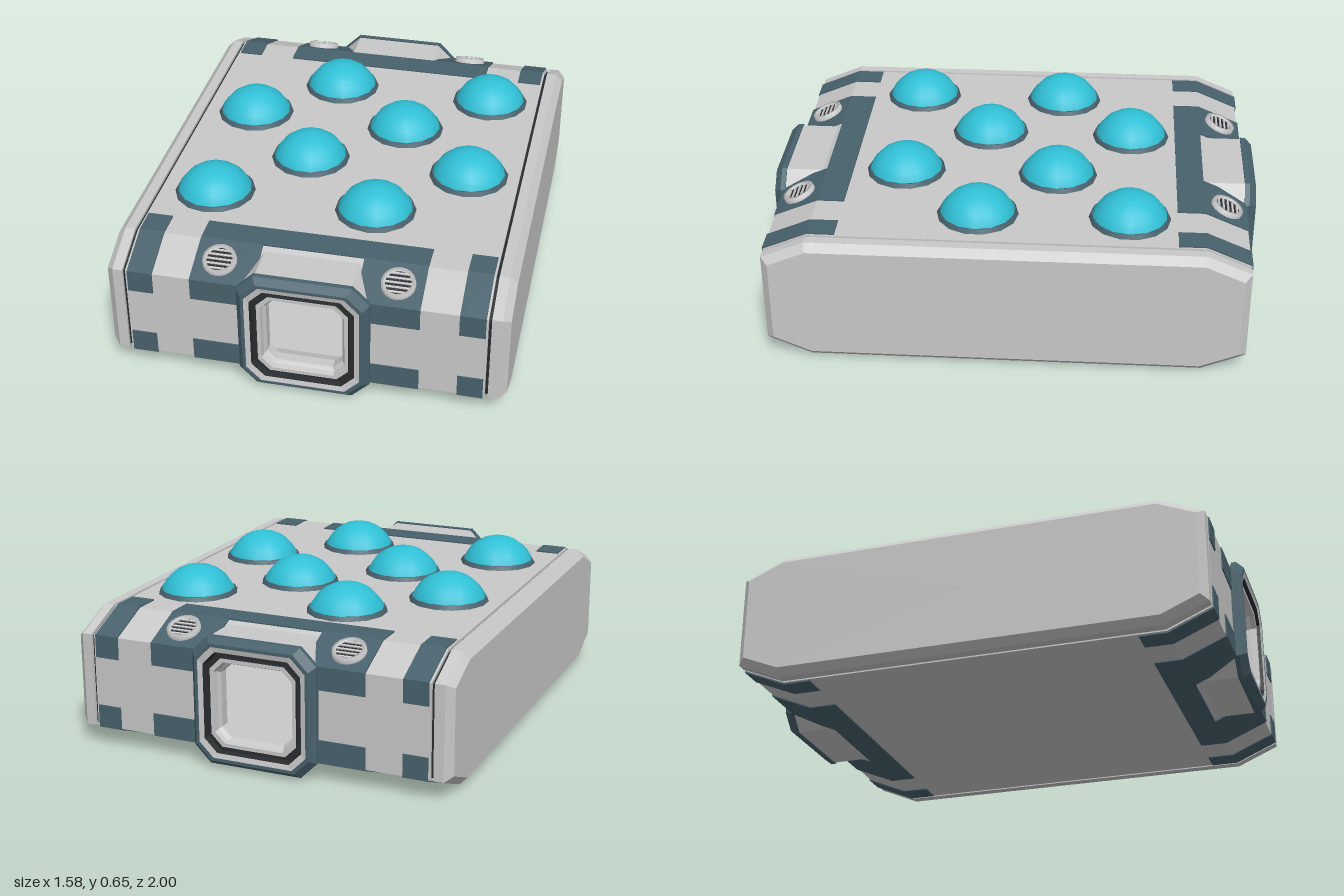
import * as THREE from 'three';

const mat = (name, color) => {
  const m = new THREE.MeshStandardMaterial({ color });
  m.name = name;
  return m;
};

export function createModel() {
  const model = new THREE.Group();
  model.name = 'deviceBlock';
  const grey = mat('light grey', 0xc8c8c8);
  const slate = mat('slate', 0x48616c);
  const black = mat('black', 0x292c2e);
  const teal = mat('teal', 0x30c0d6);
  teal.side = THREE.DoubleSide;
  const MID = 0.27;

  const add = (name, geometry, material, parent = model) => {
    const mesh = new THREE.Mesh(geometry, material);
    mesh.name = name;
    parent.add(mesh);
    return mesh;
  };

  // Upper half of the block's side profile as [-z, y], inset by d, front to back
  const upper = (d) => {
    const half = [[0.955 - d, 0.46 - 0.64 * d], [0.78 - 0.22 * d, 0.535 - d]];
    return [[-half[0][0], half[0][1]], [-half[1][0], half[1][1]], [half[1][0], half[1][1]], [half[0][0], half[0][1]]];
  };
  const flip = (pts) => pts.map(([u, y]) => [u, 2 * MID - y]);
  // Whole profile, counter-clockwise seen from +x
  const profile = (d) => [...flip(upper(d)), ...upper(d).reverse()];

  const toShape = (pts) => new THREE.Shape(pts.map(([x, y]) => new THREE.Vector2(x, y)));
  // Extrude a [-z, y] outline along x
  const alongX = (pts, x0, x1) =>
    new THREE.ExtrudeGeometry(toShape(pts), { depth: x1 - x0, bevelEnabled: false })
      .rotateY(Math.PI / 2).translate(x0, 0, 0);

  // Flat-shaded skin through a list of closed rings
  const loft = (rings) => {
    const pos = [];
    for (let j = 0; j < rings.length - 1; j++) {
      const a = rings[j], b = rings[j + 1], n = a.length;
      for (let i = 0; i < n; i++) {
        const k = (i + 1) % n;
        pos.push(...a[i], ...a[k], ...b[k], ...a[i], ...b[k], ...b[i]);
      }
    }
    const g = new THREE.BufferGeometry();
    g.setAttribute('position', new THREE.Float32BufferAttribute(pos, 3));
    g.computeVertexNormals();
    return g;
  };

  // Chamfered square around the port centre
  const octagon = (h) => {
    const c = h * 0.74;
    return [[h, -c], [h, c], [c, h], [-c, h], [-h, c], [-h, -c], [-c, -h], [c, -h]].map(([x, y]) => [x, y + MID]);
  };
  const octLoft = (steps) => loft(steps.map(([h, z]) => octagon(h).map(([x, y]) => [x, y, z])));

  // Hollow body: top and bottom shells
  const shell = [...upper(0), ...upper(0.02).reverse()];
  add('topShell', alongX(shell, -0.708, 0.708), grey);
  add('bottomShell', alongX(flip(shell), -0.708, 0.708), grey);

  // Side panels with a dark seam; the second is turned half round
  for (const side of [0, 1]) {
    const panel = new THREE.Group();
    panel.name = side ? 'rightSide' : 'leftSide';
    panel.rotation.y = side * Math.PI;
    model.add(panel);
    const ring = (x, d) => profile(d).map(([u, y]) => [x, y, -u]);
    const centre = (x) => ring(x, 0).map(() => [x, MID, 0]);
    add('seam', loft([ring(0.7, 0.012), ring(0.722, 0.012)]), black, panel);
    add('sidePanel', loft([centre(0.72), ring(0.72, 0), ring(0.76, 0), ring(0.79, 0.03), centre(0.79)]), grey, panel);
  }

  // Front and back ends
  for (const end of [0, 1]) {
    const g = new THREE.Group();
    g.name = end ? 'backEnd' : 'frontEnd';
    g.rotation.y = end * Math.PI;
    model.add(g);

    // End wall with an opening
    const wall = toShape([[-0.708, 0.08], [0.708, 0.08], [0.708, 0.46], [-0.708, 0.46]]);
    wall.holes.push(toShape(octagon(0.18)));
    add('endWall', new THREE.ExtrudeGeometry(wall, { depth: 0.02, bevelEnabled: false }).translate(0, 0, 0.935), grey, g);

    // Port: housing, frame, lip, groove and inner sleeve
    add('portHousing', octLoft([[0.18, 0.76], [0.255, 0.76], [0.255, 0.952]]), grey, g);
    add('portFrame', octLoft([[0.255, 0.952], [0.26, 0.952], [0.26, 0.972], [0.238, 1], [0.225, 1]]), slate, g);
    add('portLip', octLoft([[0.225, 1], [0.205, 0.995]]), grey, g);
    add('portGroove', octLoft([[0.205, 0.995], [0.2, 0.97], [0.18, 0.97], [0.18, 0.985]]), black, g);
    add('portSleeve', octLoft([[0.18, 0.985], [0.165, 0.985], [0.16, 0.965], [0.15, 0.95], [0.15, 0.91], [0.18, 0.91], [0.18, 0.97]]), grey, g);

    // Trim bands wrapping the upper and lower edges
    const out = upper(-0.005), inn = upper(0.01);
    const band = [[out[0][0], 0.37], out[0], out[1], [-0.67, out[1][1]], [-0.67, inn[1][1]], inn[1], inn[0], [inn[0][0], 0.37]];
    for (const [x0, x1] of [[-0.7, -0.6], [-0.45, -0.2], [0.2, 0.45], [0.6, 0.7]]) {
      add('upperTrim', alongX(band, x0, x1), slate, g);
      add('lowerTrim', alongX(flip(band), x0, x1), slate, g);
    }
    for (const y of [0.535, 0.005]) {
      add('middleTrim', new THREE.BoxGeometry(0.4, 0.01, 0.111).translate(0, y, 0.7255), slate, g);
    }

    // Round slatted vents on the upper slope
    for (const x of [-0.35, 0.35]) {
      const vent = new THREE.Group();
      vent.name = 'vent';
      vent.position.set(x, 0.507, 0.872);
      vent.rotation.x = Math.atan2(0.075, 0.175);
      g.add(vent);
      add('ventBack', new THREE.CylinderGeometry(0.055, 0.055, 0.012, 20), black, vent);
      const rim = [[0.068, -0.01], [0.066, 0.014], [0.052, 0.014], [0.05, 0]].map(([r, y]) => new THREE.Vector2(r, y));
      add('ventRim', new THREE.LatheGeometry(rim, 20), ventGrey(grey), vent);
      for (let i = -2; i <= 2; i++) {
        const w = 2 * Math.sqrt(0.052 ** 2 - (i * 0.02) ** 2);
        add('ventSlat', new THREE.BoxGeometry(w, 0.008, 0.008).translate(0, 0.007, i * 0.02), grey, vent);
      }
    }
  }

  // Staggered domes on dark collars
  for (const [x, z] of [[-0.17, -0.48], [0.5, -0.48], [-0.49, -0.18], [0.175, -0.18],
    [-0.17, 0.125], [0.5, 0.125], [-0.49, 0.45], [0.175, 0.45]]) {
    const lamp = new THREE.Group();
    lamp.name = 'lamp';
    lamp.position.set(x, 0, z);
    model.add(lamp);
    add('collar', new THREE.CylinderGeometry(0.154, 0.164, 0.018, 14).translate(0, 0.543, 0), slate, lamp);
    add('dome', new THREE.SphereGeometry(0.164, 14, 10, 0, Math.PI * 2, 0, 1.8).translate(0, 0.486, 0), teal, lamp);
  }
  return model;
}

// Rim profile runs bottom to top, so both faces are kept visible
let rimMaterial = null;
function ventGrey(base) {
  if (!rimMaterial) {
    rimMaterial = base.clone();
    rimMaterial.name = 'vent rim grey';
    rimMaterial.side = THREE.DoubleSide;
  }
  return rimMaterial;
}
